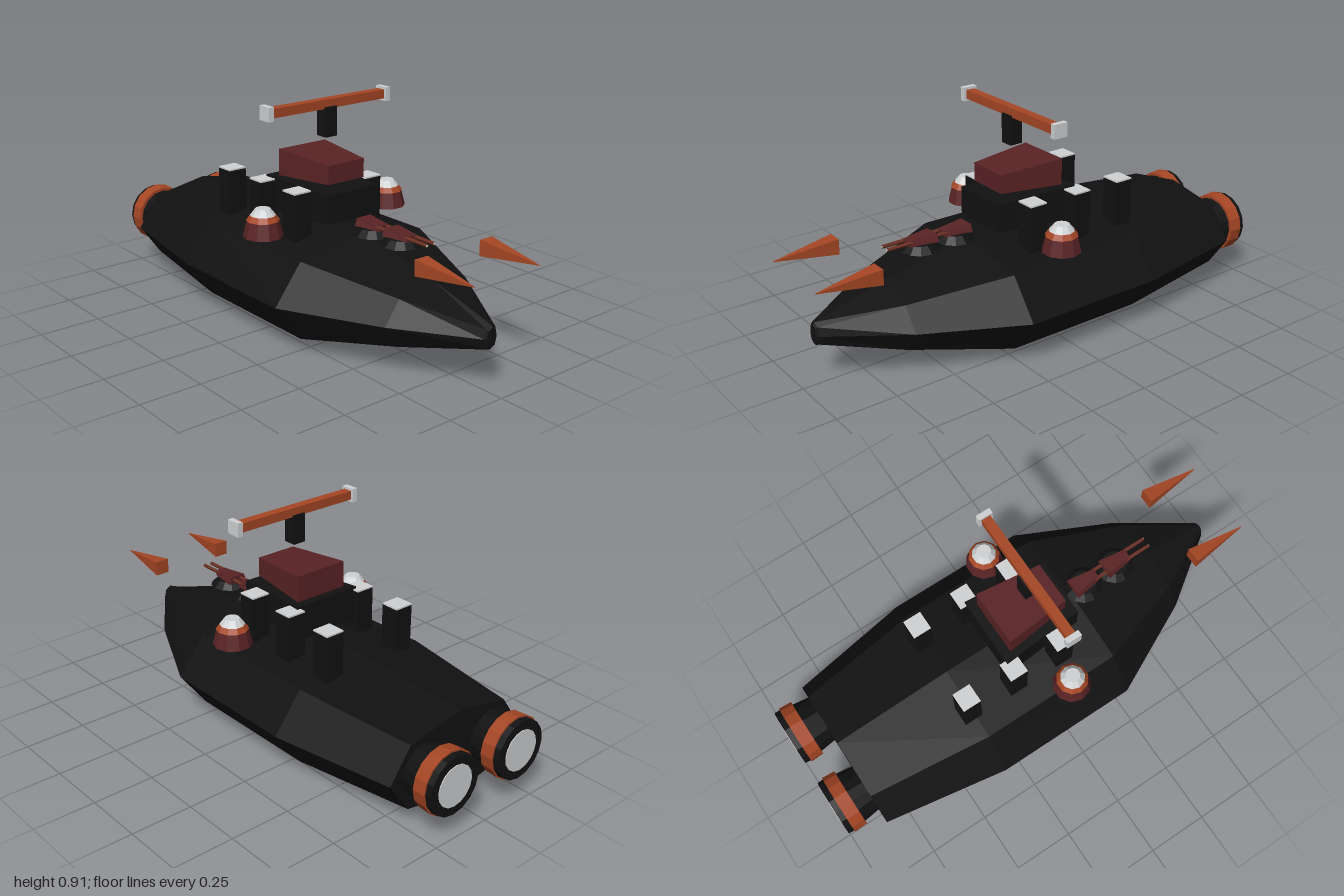
import * as THREE from 'three';

const mat = (name, color, side = THREE.FrontSide) => {
  const m = new THREE.MeshStandardMaterial({ color, flatShading: true, side });
  m.name = name;
  return m;
};

// Closed loft along x: sections are [x, centreY, halfHeight, halfWidth], shape is a loop of [z, y] unit points
function loft(sections, shape) {
  const pos = [], n = shape.length;
  const at = (s, k) => [s[0], s[1] + shape[k % n][1] * s[2], shape[k % n][0] * s[3]];
  const first = sections[0], last = sections[sections.length - 1];
  for (let k = 0; k < n; k++) {
    for (let i = 0; i < sections.length - 1; i++) {
      const a = sections[i], b = sections[i + 1];
      pos.push(...at(a, k), ...at(b, k), ...at(a, k + 1));
      pos.push(...at(a, k + 1), ...at(b, k), ...at(b, k + 1));
    }
    pos.push(first[0], first[1], 0, ...at(first, k), ...at(first, k + 1));
    pos.push(last[0], last[1], 0, ...at(last, k + 1), ...at(last, k));
  }
  const g = new THREE.BufferGeometry();
  g.setAttribute('position', new THREE.Float32BufferAttribute(pos, 3));
  g.computeVertexNormals();
  return g;
}

export function createModel() {
  const model = new THREE.Group();
  model.name = 'warship';
  const black = mat('hullBlack', 0x111111);
  const red = mat('darkRed', 0x5a2325);
  const orange = mat('rustOrange', 0xa54624);
  const grey = mat('lightGrey', 0xcfd1d3);
  const brown = mat('barrelBrown', 0x6b3024);

  const add = (name, geo, material, x = 0, y = 0, z = 0, parent = model) => {
    const m = new THREE.Mesh(geo, material);
    m.name = name;
    m.position.set(x, y, z);
    parent.add(m);
    return m;
  };
  const box = (w, h, d) => new THREE.BoxGeometry(w, h, d);
  // Cylinder lying along x, first radius at the stern end
  const tubeX = (rStern, rBow, len, seg) => new THREE.CylinderGeometry(rStern, rBow, len, seg).rotateZ(Math.PI / 2);

  const square = [[1, -1], [1, 1], [-1, 1], [-1, -1]];
  const octagon = [[1, 0], [0.72, 0.75], [0, 1], [-0.72, 0.75], [-1, 0], [-0.72, -0.75], [0, -1], [0.72, -0.75]];
  const trapezoid = [[1, -1], [0.76, 1], [-0.76, 1], [-1, -1]];

  // Hull
  add('hull', loft([
    [-0.85, 0.21, 0.175, 0.335],
    [-0.34, 0.208, 0.207, 0.422],
    [0.26, 0.208, 0.207, 0.422],
    [0.65, 0.212, 0.123, 0.232],
    [0.935, 0.21, 0.047, 0.032],
    [0.942, 0.21, 0.038, 0.024],
  ], octagon), black);

  // Deckhouse and bridge, both narrowing towards the bow
  add('deckhouse', loft([[-0.15, 0.509, 0.071, 0.152], [0.2, 0.509, 0.057, 0.124]], square), black);
  add('bridge', loft([[-0.113, 0.632, 0.054, 0.117], [0.16, 0.632, 0.038, 0.089]], square), red);

  // Mast with crossbar
  add('mast', box(0.055, 0.118, 0.056), black, 0.043, 0.812, 0);
  add('crossbar', box(0.038, 0.036, 0.56), orange, 0.043, 0.882, 0);

  for (const s of [1, -1]) {
    add('crossbarEnd', box(0.06, 0.056, 0.023), grey, 0.043, 0.882, s * 0.289);

    // Funnels with pale caps
    for (const x of [-0.353, -0.138, 0.077]) {
      add('funnel', box(0.077, 0.22, 0.08), black, x, 0.456, s * 0.177);
      add('funnelCap', box(0.077, 0.006, 0.08), grey, x, 0.569, s * 0.177);
    }

    // Domed side turrets
    const dome = new THREE.Group();
    dome.name = 'sideDome';
    dome.position.set(0.045, 0, s * 0.315);
    model.add(dome);
    add('domeBase', new THREE.CylinderGeometry(0.062, 0.078, 0.064, 10), red, 0, 0.442, 0, dome);
    add('domeBand', new THREE.CylinderGeometry(0.05, 0.065, 0.02, 10), orange, 0, 0.484, 0, dome);
    add('domeTop', new THREE.CylinderGeometry(0.03, 0.05, 0.025, 10), grey, 0, 0.5065, 0, dome);

    // Engine nozzles at the stern
    const engine = new THREE.Group();
    engine.name = 'engine';
    engine.position.set(0, 0.222, s * 0.172);
    model.add(engine);
    add('engineBody', tubeX(0.113, 0.1, 0.1, 16), black, -0.88, 0, 0, engine);
    add('engineRing', tubeX(0.127, 0.124, 0.055, 16), orange, -0.946, 0, 0, engine);
    add('engineRim', tubeX(0.119, 0.121, 0.03, 16), black, -0.983, 0, 0, engine);
    add('engineOutlet', tubeX(0.083, 0.083, 0.006, 16), grey, -0.998, 0, 0, engine);

    // Bow spikes
    add('bowSpike', loft([[0.748, 0.456, 0.031, 0.031], [1, 0.456, 0.001, 0.001]], square), orange, 0, 0, s * 0.16);
  }

  // Twin-barrel deck guns
  for (const x of [0.32, 0.475]) {
    const gun = new THREE.Group();
    gun.name = 'deckGun';
    gun.position.x = x;
    model.add(gun);
    add('gunBase', new THREE.CylinderGeometry(0.053, 0.08, 0.026, 12), black, 0, 0.438, 0, gun);
    add('gunHouse', loft([[-0.055, 0.464, 0.015, 0.045], [0.06, 0.462, 0.011, 0.026]], trapezoid), red, 0, 0, 0, gun);
    for (const z of [0.018, -0.018]) {
      add('gunBarrel', tubeX(0.008, 0.007, 0.12, 6), brown, 0.095, 0.464, z, gun);
      add('muzzle', tubeX(0.005, 0.005, 0.003, 6), grey, 0.155, 0.464, z, gun);
    }
  }
  return model;
}
